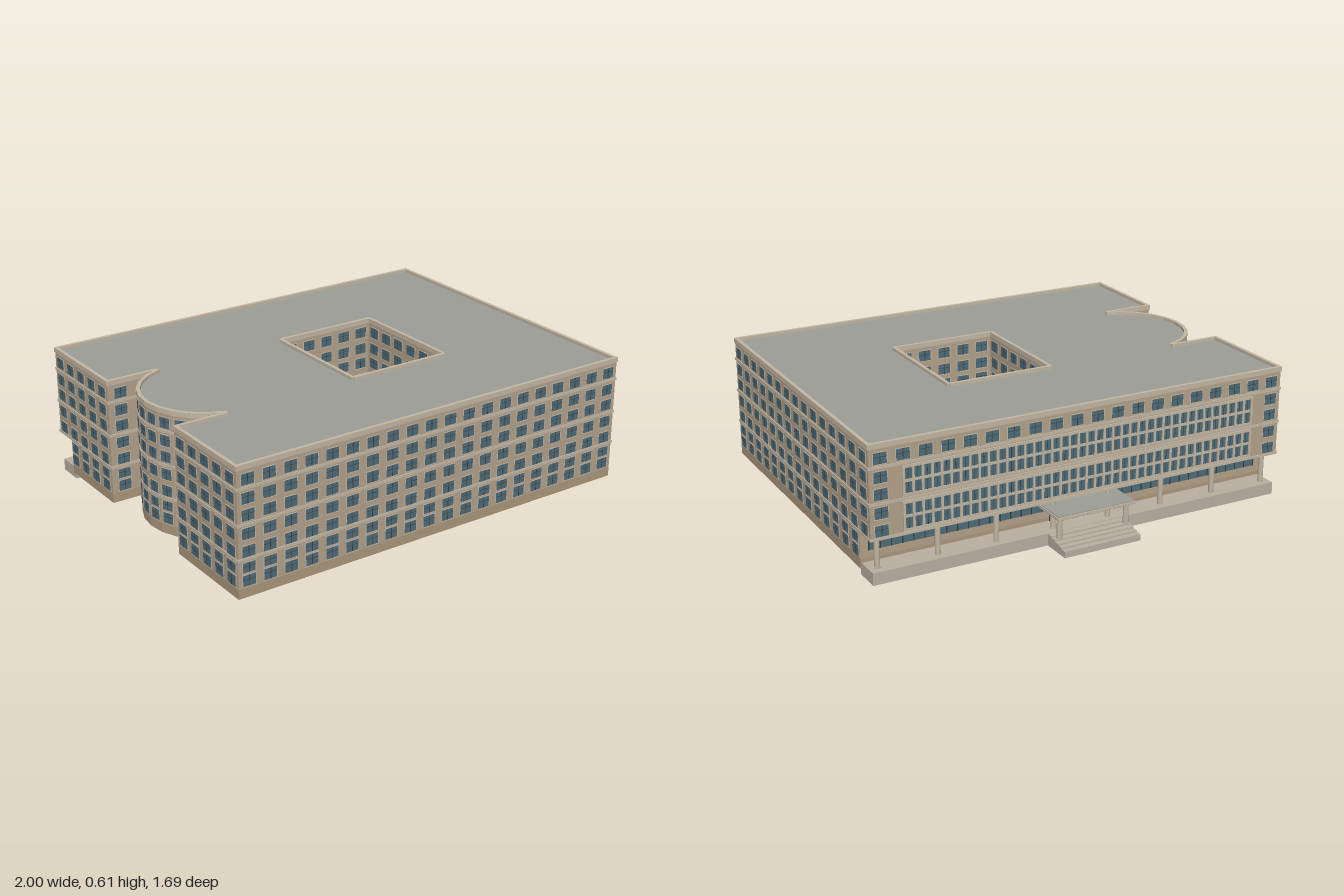
import * as THREE from 'three';
import { mergeGeometries } from 'three/addons/utils/BufferGeometryUtils.js';

const mat = (name, color) => {
  const m = new THREE.MeshStandardMaterial({ color });
  m.name = name;
  return m;
};

export function createModel() {
  const wall = mat('tan wall', 0xb3a089);
  const plinthTan = mat('dark tan plinth', 0xab967b);
  const trim = mat('light trim', 0xc2b6a3);
  const roofGrey = mat('roof grey', 0x9c9d95);
  const glass = mat('window glass', 0x4f6b78);
  const frame = mat('dark frame', 0x35434a);
  const stone = mat('porch stone', 0xb9afa1);

  const building = new THREE.Group();
  building.name = 'building';
  const add = (name, geo, material) => {
    const m = new THREE.Mesh(Array.isArray(geo) ? mergeGeometries(geo) : geo, material);
    m.name = name;
    building.add(m);
    return m;
  };

  // Box lying along wall a-b: s = distance along it, out = offset of its centre along the outward normal
  const onWall = (a, b, s, y, w, h, d, out) => {
    const dx = b[0] - a[0], dz = b[1] - a[1], len = Math.hypot(dx, dz);
    const ux = dx / len, uz = dz / len;
    return new THREE.BoxGeometry(w, h, d)
      .rotateY(Math.atan2(-uz, ux))
      .translate(a[0] + ux * s - uz * out, y, a[1] + uz * s + ux * out);
  };
  const length = (a, b) => Math.hypot(b[0] - a[0], b[1] - a[1]);
  const box = (x0, x1, y0, y1, z0, z1) => new THREE.BoxGeometry(x1 - x0, y1 - y0, z1 - z0)
    .translate((x0 + x1) / 2, (y0 + y1) / 2, (z0 + z1) / 2);

  // Plan: rectangle with a side notch holding a round bay, and an inner courtyard
  const L = -0.9925, R = 0.9875, F = 0.83, B = -0.7, GB = -0.588;
  const N0 = -0.205, N1 = 0.365;
  const bay = [];
  for (let i = 0; i <= 10; i++) {
    const a = -1.287 + (2.574 * i) / 10;
    bay.push([-0.666 - 0.297 * Math.cos(a), 0.08 + 0.297 * Math.sin(a)]);
  }
  const plan = (back) => [[L, F], [R, F], [R, back], [L, back], [L, N0], ...bay, [L, N1]];
  const upper = plan(B), ground = plan(GB);
  const court = [[-0.1, -0.205], [0.39, -0.205], [0.39, 0.35], [-0.1, 0.35]];
  const edges = (pts) => pts.map((p, i) => [p, pts[(i + 1) % pts.length]]);
  const strip = (pts, y0, y1, d, out) => edges(pts).map(([a, b]) => {
    const l = length(a, b);
    return onWall(a, b, l / 2, (y0 + y1) / 2, l + Math.max(0, out + d / 2) * 2, y1 - y0, d, out);
  });

  // Upper storeys with roof and exposed underside
  const toV = ([x, z]) => new THREE.Vector2(x, -z);
  const shape = new THREE.Shape(upper.map(toV));
  shape.holes.push(new THREE.Path(court.map(toV)));
  const body = new THREE.ExtrudeGeometry(shape, { depth: 0.393, bevelEnabled: false })
    .rotateX(-Math.PI / 2).translate(0, 0.2, 0);
  add('upperStoreys', body, [roofGrey, wall]);

  // Hollow ground storey
  const low = [ground, court];
  add('groundWalls', low.flatMap((p) => strip(p, 0.072, 0.2, 0.008, -0.004)), wall);
  add('plinth', low.flatMap((p) => strip(p, 0.03, 0.072, 0.008, -0.004)), plinthTan);

  // Parapet and storey bands
  add('parapet', [upper, court].flatMap((p) => strip(p, 0.585, 0.607, 0.016, -0.004)), trim);
  add('storeyBands', [0.505, 0.35, 0.2].flatMap((y) => strip(upper, y - 0.006, y + 0.006, 0.008, 0)), trim);

  // Windows: light surround, glass and dark glazing bars
  const surrounds = [], panes = [], bars = [];
  const high = [0.543, 0.463, 0.39, 0.31, 0.233], lowRows = [0.163, 0.105];
  const windows = (a, b, n, rows, from = 0, to = n, w = 0.058) => {
    const l = length(a, b);
    for (let i = from; i < to; i++) for (const y of rows) {
      const s = ((i + 0.5) * l) / n, h = y === 0.163 ? 0.042 : 0.048;
      surrounds.push(onWall(a, b, s, y - 0.001, w + 0.008, h + 0.007, 0.002, 0.001));
      panes.push(onWall(a, b, s, y, w, h, 0.002, 0.002));
      bars.push(onWall(a, b, s, y, 0.003, h, 0.002, 0.003));
      bars.push(onWall(a, b, s, y + h * 0.12, w, 0.002, 0.002, 0.003));
    }
  };
  const all = [...high, ...lowRows];
  windows([L, F], [R, F], 20, all);
  windows([R, F], [R, B], 15, high);
  windows([R, F], [R, B], 15, lowRows, 0, 14);
  windows([L, B], [L, N0], 5, high);
  windows([L, B], [L, N0], 5, lowRows, 1);
  windows([L, N1], [L, F], 5, all);
  windows([L, N0], bay[0], 2, all);
  windows(bay[10], [L, N1], 2, all);
  for (let i = 0; i < 10; i++) windows(bay[i], bay[i + 1], 1, all, 0, 1, 0.05);
  edges(court).forEach(([a, b], i) => windows(a, b, i % 2 ? 6 : 5, all));
  windows([R, B], [L, B], 20, [high[0]]);
  for (const [from, to] of [[0, 1], [19, 20]]) windows([R, B], [L, B], 20, high.slice(1), from, to);

  // Rear facade: two tall bands of glazing divided by close-set fins
  const fins = [];
  for (const y of [0.428, 0.275]) {
    panes.push(box(-0.84, 0.84, y - 0.06, y + 0.06, B - 0.003, B));
    for (const e of [-0.06, 0, 0.06]) fins.push(box(-0.845, 0.845, y + e - 0.006, y + e + 0.006, B - 0.006, B));
    for (let i = 0; i <= 40; i++) {
      const x = -0.84 + i * 0.042;
      fins.push(box(x - 0.005, x + 0.005, y - 0.06, y + 0.06, B - 0.008, B));
      if (i < 40) bars.push(box(x + 0.02, x + 0.022, y - 0.06, y + 0.06, B - 0.004, B));
    }
  }
  add('rearFins', fins, trim);

  // Recessed rear shopfront glazing and doors
  panes.push(box(-0.95, 0.95, 0.105, 0.185, GB - 0.003, GB));
  panes.push(box(-0.14, 0.11, 0.058, 0.185, GB - 0.004, GB));
  for (let i = 0; i <= 38; i++) {
    const x = -0.95 + i * 0.05;
    bars.push(box(x - 0.002, x + 0.002, 0.105, 0.185, GB - 0.006, GB));
  }
  for (const x of [-0.14, -0.06, -0.015, 0.03, 0.11]) bars.push(box(x - 0.003, x + 0.003, 0.056, 0.185, GB - 0.007, GB));

  add('windowSurrounds', surrounds, trim);
  add('windowGlass', panes, glass);
  add('glazingBars', bars, frame);

  // Rear porch platform, steps and columns
  add('porchPlatform', box(-0.985, 0.982, 0, 0.055, -0.7, -0.58), stone);
  const steps = [];
  for (let i = 0; i < 5; i++) steps.push(box(-0.19, 0.18, 0, 0.053 - i * 0.006, -0.73 - i * 0.028, -0.7));
  add('entranceSteps', steps, stone);
  const columns = [];
  const column = (x, z, y1) => columns.push(
    new THREE.CylinderGeometry(0.012, 0.012, y1 - 0.05, 12).translate(x, (y1 + 0.05) / 2, z));
  for (let i = 0; i < 8; i++) column(-0.945 + i * 0.27, -0.66, 0.2);
  for (const x of [-0.17, 0.155]) column(x, -0.752, 0.152);
  add('porchColumns', columns, trim);

  // Entrance canopy
  add('canopyEdge', box(-0.195, 0.185, 0.148, 0.16, -0.79, GB), trim);
  add('canopyRoof', box(-0.19, 0.18, 0.16, 0.164, -0.785, GB), roofGrey);
  add('canopySoffit', box(-0.19, 0.18, 0.145, 0.148, -0.785, GB), frame);

  // The block sits slightly skewed
  building.rotation.y = 0.009;
  const model = new THREE.Group();
  model.name = 'officeBlock';
  model.add(building);
  return model;
}
